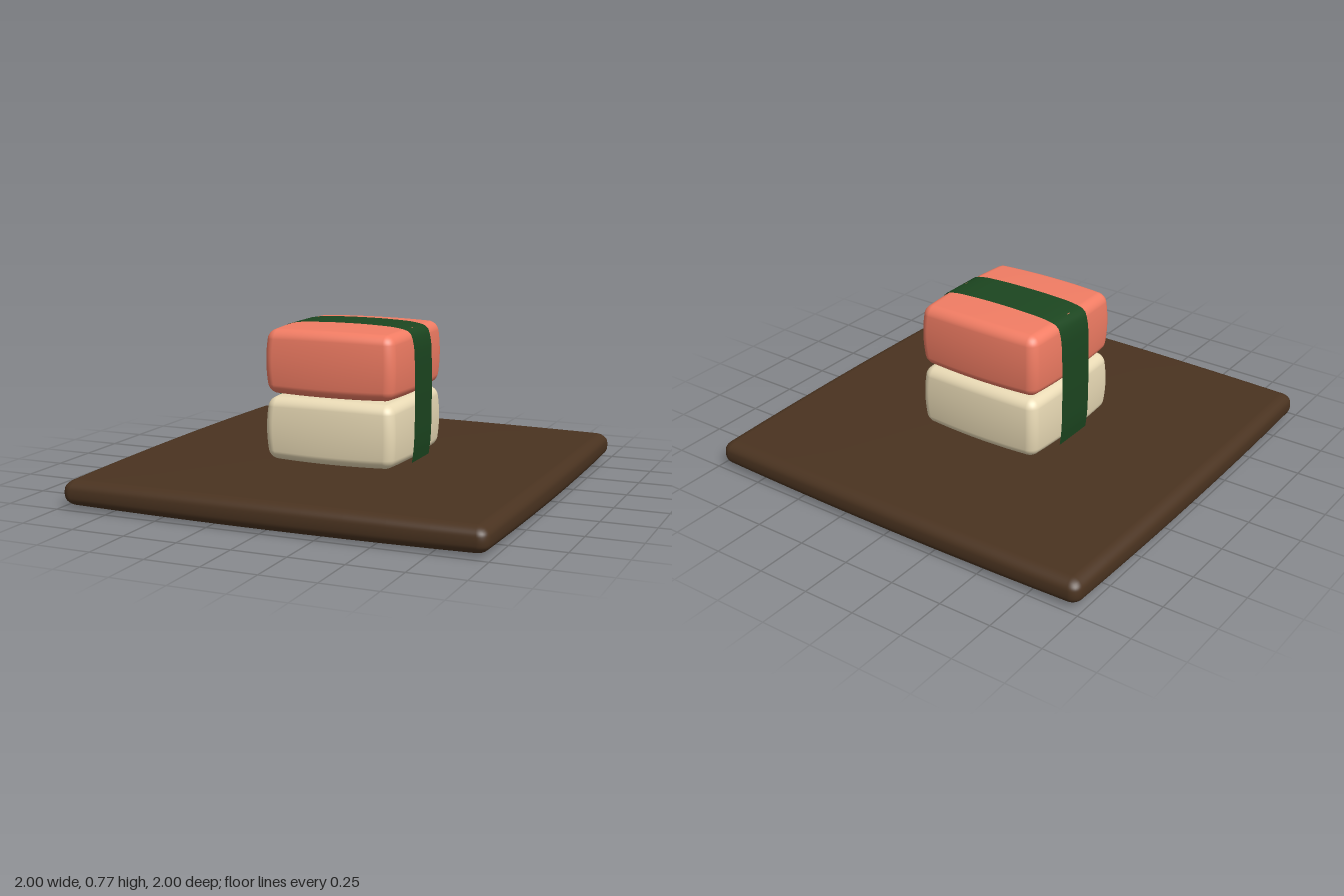
import * as THREE from 'three';
import { mergeVertices } from 'three/addons/utils/BufferGeometryUtils.js';

// Rounded block with gently bulging faces: half sizes, edge radius, inset of each axis at its rims
function pillow(half, radius, inset) {
  let geo = new THREE.BoxGeometry(2, 2, 2, 20, 20, 20);
  geo.deleteAttribute('normal');
  geo.deleteAttribute('uv');
  geo = mergeVertices(geo);
  const pos = geo.attributes.position;
  const inner = half.map((h) => h - radius);
  for (let i = 0; i < pos.count; i++) {
    const core = [], dir = new THREE.Vector3();
    for (let a = 0; a < 3; a++) {
      // inner half of the grid spans the flat face, outer half the rounded edge
      const u = pos.getComponent(i, a), m = Math.abs(u), s = Math.sign(u);
      core[a] = s * Math.min(m * 2, 1) * inner[a];
      dir.setComponent(a, m > 0.5 ? s * Math.tan((m - 0.5) * Math.PI / 2) : 0);
    }
    dir.setLength(radius);
    const p = core.map((c, a) => c + dir.getComponent(a));
    const q = p.map((c, a) => c / half[a]);
    for (let a = 0; a < 3; a++) {
      const b = q[(a + 1) % 3], c = q[(a + 2) % 3];
      pos.setComponent(i, a, p[a] - inset[a] * q[a] * (b * b + c * c));
    }
  }
  geo.computeVertexNormals();
  return geo;
}

// Thin strip that follows an arch in the xy plane, slightly skewed along z
function strip(points, zBack, zFront, skew) {
  const curve = new THREE.CatmullRomCurve3(points.map(([x, y]) => new THREE.Vector3(x, y, 0)));
  const geo = new THREE.PlaneGeometry(1, 1, 80, 1);
  const pos = geo.attributes.position;
  for (let i = 0; i < pos.count; i++) {
    const p = curve.getPointAt(THREE.MathUtils.clamp(pos.getX(i) + 0.5, 0, 1));
    const z = pos.getY(i) > 0 ? zBack : zFront;
    pos.setXYZ(i, p.x, p.y, z - skew * (p.y - 0.13));
  }
  geo.computeVertexNormals();
  return geo;
}

export function createModel() {
  const model = new THREE.Group();
  const add = (name, geo, color, y = 0, side = THREE.FrontSide) => {
    const mesh = new THREE.Mesh(geo, new THREE.MeshStandardMaterial({ color, side }));
    mesh.name = name;
    mesh.position.y = y;
    model.add(mesh);
  };

  // Serving board
  add('board', pillow([1, 0.07, 1], 0.045, [0.014, 0.006, 0.014]), 0x4a3320, 0.07);

  // Rice block with the topping stacked on it
  add('rice', pillow([0.33, 0.156, 0.33], 0.045, [0.012, 0.006, 0.012]), 0xeadbb6, 0.29);
  add('topping', pillow([0.33, 0.158, 0.33], 0.045, [0.012, 0.006, 0.012]), 0xf27d64, 0.602);

  // Seaweed band wrapped over both blocks
  const halfArch = [[0.328, 0.13], [0.338, 0.22], [0.341, 0.42], [0.338, 0.6], [0.331, 0.69], [0.312, 0.742], [0.26, 0.759], [0.13, 0.768]];
  const arch = [...halfArch.map(([x, y]) => [-x, y]), [0, 0.77], ...halfArch.slice().reverse()];
  add('seaweedBand', strip(arch, -0.119, 0.1, 0.011), 0x1c4620, 0, THREE.DoubleSide);

  return model;
}
